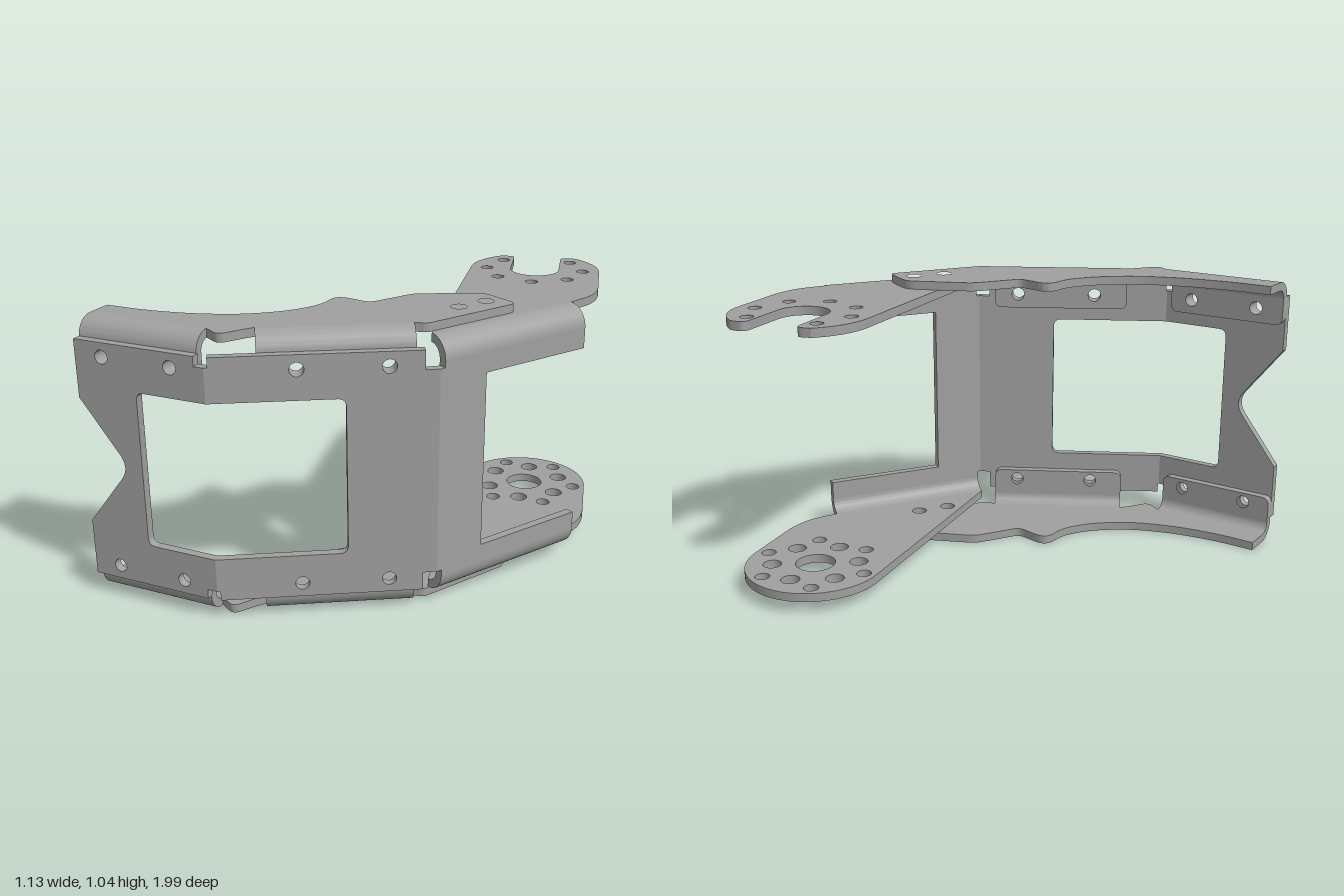
import * as THREE from 'three';
import { toCreasedNormals } from 'three/addons/utils/BufferGeometryUtils.js';

const T = 0.032;          // sheet thickness
const PLATE_H = 1.045;    // top + bottom sum used to mirror the outer plates
const BODY_H = 1.062;     // same for the folded front sheet and its arms

// Folded sheet in plan: start point and direction (x, z) of each panel
const fold = (p, q) => {
  const d = new THREE.Vector3(q[0] - p[0], 0, q[1] - p[1]);
  const length = d.length();
  d.normalize();
  return { p: new THREE.Vector3(p[0], 0, p[1]), d, length, n: new THREE.Vector3(d.z, 0, -d.x) };
};
const A = [-0.493, 0.99], B = [-0.02, 0.8], C = [0.46, 0.19], D = [0.565, -0.46];
const P1 = fold(A, B), P2 = fold(B, C), P3 = fold(C, D);

// Plan point at distance s along a panel and o behind its outer face
const at = (f, s, o) => {
  const v = f.p.clone().addScaledVector(f.d, s).addScaledVector(f.n, o);
  return [v.x, v.z];
};

// Polygon whose corners [x, y, r] may be rounded
function outline(pts) {
  const s = new THREE.Shape();
  const v = pts.map(p => new THREE.Vector2(p[0], p[1]));
  pts.forEach((p, i) => {
    const toward = q => {
      const e = q.clone().sub(v[i]);
      const len = e.length();
      return v[i].clone().addScaledVector(e.divideScalar(len), Math.min(p[2] || 0, len / 2));
    };
    const a = toward(v[(i + v.length - 1) % v.length]);
    const b = toward(v[(i + 1) % v.length]);
    if (i === 0) s.moveTo(a.x, a.y); else s.lineTo(a.x, a.y);
    if (p[2]) s.quadraticCurveTo(v[i].x, v[i].y, b.x, b.y);
  });
  s.closePath();
  return s;
}

const addHole = (shape, x, y, r) =>
  shape.holes.push(new THREE.Path().absarc(x, y, r, 0, Math.PI * 2, true));

// Points on an arc, angles in degrees
const arc = (cx, cy, r, a0, a1, n) => Array.from({ length: n + 1 }, (_, i) => {
  const a = THREE.MathUtils.degToRad(a0 + (a1 - a0) * i / n);
  return [cx + r * Math.cos(a), cy + r * Math.sin(a)];
});

export function createModel() {
  const model = new THREE.Group();
  const metal = new THREE.MeshStandardMaterial({ color: 0xa0a0a0 });
  metal.name = 'grey metal';

  const extrude = (name, shape, depth, matrix) => {
    let g = new THREE.ExtrudeGeometry(shape, { depth, bevelEnabled: false, curveSegments: 12 });
    g.applyMatrix4(matrix);
    g = toCreasedNormals(g, 0.5);
    const m = new THREE.Mesh(g, metal);
    m.name = name;
    model.add(m);
  };

  // Upright sheet: shape in (distance along panel, height), outer face at offset o
  const upright = (name, f, shape, o = 0) => {
    const m = new THREE.Matrix4().makeBasis(f.d, new THREE.Vector3(0, 1, 0), f.n.clone().negate());
    extrude(name, shape, T, m.setPosition(f.p.clone().addScaledVector(f.n, o + T)));
  };

  // Flat sheet: outline and holes in plan (x, z)
  const flat = (name, pts, holes, y) => {
    const shape = outline(pts.map(([x, z, r]) => [x, -z, r]));
    holes.forEach(([x, z, r]) => addHole(shape, x, -z, r));
    extrude(name, shape, T, new THREE.Matrix4().makeRotationX(-Math.PI / 2).setPosition(0, y, 0));
  };

  // Quarter-round bend between an upright and a flat sheet
  const bend = (name, f, s0, s1, o, r, top, mapY) => {
    const pts = [...arc(o + r, top - r, r, 180, 90, 12), ...arc(o + r, top - r, r - T, 90, 180, 12)];
    const m = new THREE.Matrix4().makeBasis(f.n, new THREE.Vector3(0, 1, 0), f.d);
    m.setPosition(f.p.clone().addScaledVector(f.d, s0));
    extrude(name, outline(pts.map(([x, y]) => [x, mapY(y)])), s1 - s0, m);
  };

  // Front panels, each half of the window frame
  const rivetY = [0.928, BODY_H - 0.928];
  const rivets1 = [0.108, 0.378], rivets2 = [0.3, 0.607];
  const L1 = P1.length, L2 = P2.length, L3 = P3.length;
  const left = outline([
    [0, 0.082], [L1 - 0.038, 0.082], [L1 - 0.038, 0.118], [L1, 0.118], [L1, 0.243],
    [0.238, 0.243, 0.03], [0.238, 0.82, 0.03], [L1, 0.82], [L1, 0.945], [L1 - 0.038, 0.945],
    [L1 - 0.038, 0.98], [0, 0.98], [0, 0.768], [0.185, 0.532, 0.06], [0, 0.296],
  ]);
  const middle = outline([
    [0, 0.118], [0.012, 0.118], [0.012, 0.082], [L2 - 0.05, 0.082], [L2 - 0.05, 0.15], [L2, 0.15],
    [L2, 0.912], [L2 - 0.05, 0.912], [L2 - 0.05, 0.98], [0.012, 0.98], [0.012, 0.945], [0, 0.945],
    [0, 0.82], [0.462, 0.82, 0.03], [0.462, 0.243, 0.03], [0, 0.243],
  ]);
  for (const y of rivetY) {
    rivets1.forEach(s => addHole(left, s, y, 0.025));
    rivets2.forEach(s => addHole(middle, s, y, 0.025));
  }
  upright('leftFrontPanel', P1, left);
  upright('middleFrontPanel', P2, middle);

  // Side panel with two rearward strips
  const R3 = 0.078, hi = 1.014 - R3, lo = BODY_H - hi;
  upright('sidePanel', P3, outline([
    [0, 0.15], [0.02, 0.15], [0.02, lo], [L3, lo], [L3, 0.197], [0.2, 0.197],
    [0.2, 0.859], [L3, 0.859], [L3, hi], [0.02, hi], [0.02, 0.912], [0, 0.912],
  ]));

  // Arms: disc-ended plates folded inward from the side panel
  const cx = 0.1, cz = -0.745, R = 0.255;
  const u = [-0.574, -0.819];   // direction in which the slot opens
  const slotEnd = side => [cx - side * u[1] * 0.095 + u[0] * 0.21, cz + side * u[0] * 0.095 + u[1] * 0.21, 0.035];
  const armBase = [at(P3, 0.02, R3), at(P3, L3, R3), [0.492, -0.63, 0.1]];
  const armHoles = [[0.333, -0.178, 0.029], [0.313, -0.057, 0.029]];
  const ring = (n, r, hole, a0) => arc(cx, cz, r, a0, a0 + 360 * (n - 1) / n, n - 1).map(p => [...p, hole]);

  flat('upperSlottedArm', [
    ...armBase, ...arc(cx, cz, R, -32.5, -88, 12), slotEnd(1),
    ...arc(cx, cz, 0.095, -35, 145, 18), slotEnd(-1), ...arc(cx, cz, R, -162, -210, 10),
  ], [...armHoles, ...ring(7, 0.19, 0.024, 0).map((_, i) => {
    const a = THREE.MathUtils.degToRad(-80 + i * 45);
    return [cx + 0.19 * Math.cos(a), cz + 0.19 * Math.sin(a), 0.024];
  })], 1.014 - T);

  flat('lowerRoundArm', [...armBase, ...arc(cx, cz, R, -32.5, -210, 36)],
    [...armHoles, [cx, cz, 0.073], ...ring(6, 0.157, 0.034, 239), ...ring(6, 0.208, 0.027, 209)],
    BODY_H - 1.014);

  // Outer plates with bends and riveted tabs, top and bottom
  const RP = 0.07, O = T, s1 = 0.465, s2 = 0.17, s3 = 0.7;
  const plate = [
    [...at(P1, 0, 0.2)], [-0.42, 0.745, 0.07], [-0.27, 0.655, 0.08], [-0.14, 0.535, 0.08],
    [-0.062, 0.39, 0.07], [-0.045, 0.265, 0.05], [-0.09, 0.153, 0.06], [0.055, 0.125, 0.03],
    [0.085, -0.065, 0.03], [0.26, -0.255, 0.04], [0.428, -0.232, 0.03], [0.372, 0.165, 0.02],
    at(P2, s3, O + RP), at(P2, s2, O + RP), [-0.005, 0.64, 0.02], [-0.022, 0.735, 0.03],
    at(P1, s1, O + RP), at(P1, 0, O + RP),
  ];
  for (const [side, sign] of [['upper', 1], ['lower', -1]]) {
    const mapY = y => sign > 0 ? y : PLATE_H - y;
    const bodyY = y => sign > 0 ? y : BODY_H - y;
    flat(side + 'OuterPlate', plate, armHoles, sign > 0 ? PLATE_H - T : 0);
    bend(side + 'ArmBend', P3, 0.02, L3, 0, R3, 1.014, bodyY);
    for (const [name, f, a, b, rivets] of [['Left', P1, 0, s1, rivets1], ['Middle', P2, s2, s3, rivets2]]) {
      bend(side + name + 'PlateBend', f, a, b, O, RP, PLATE_H, mapY);
      const top = mapY(PLATE_H - RP), end = mapY(0.873);
      const tab = outline([[a, top], [a, end, 0.03], [b, end, 0.03], [b, top]]);
      rivets.forEach(s => addHole(tab, s, bodyY(0.928), 0.025));
      upright(side + name + 'RivetTab', f, tab, O);
    }
  }
  return model;
}
